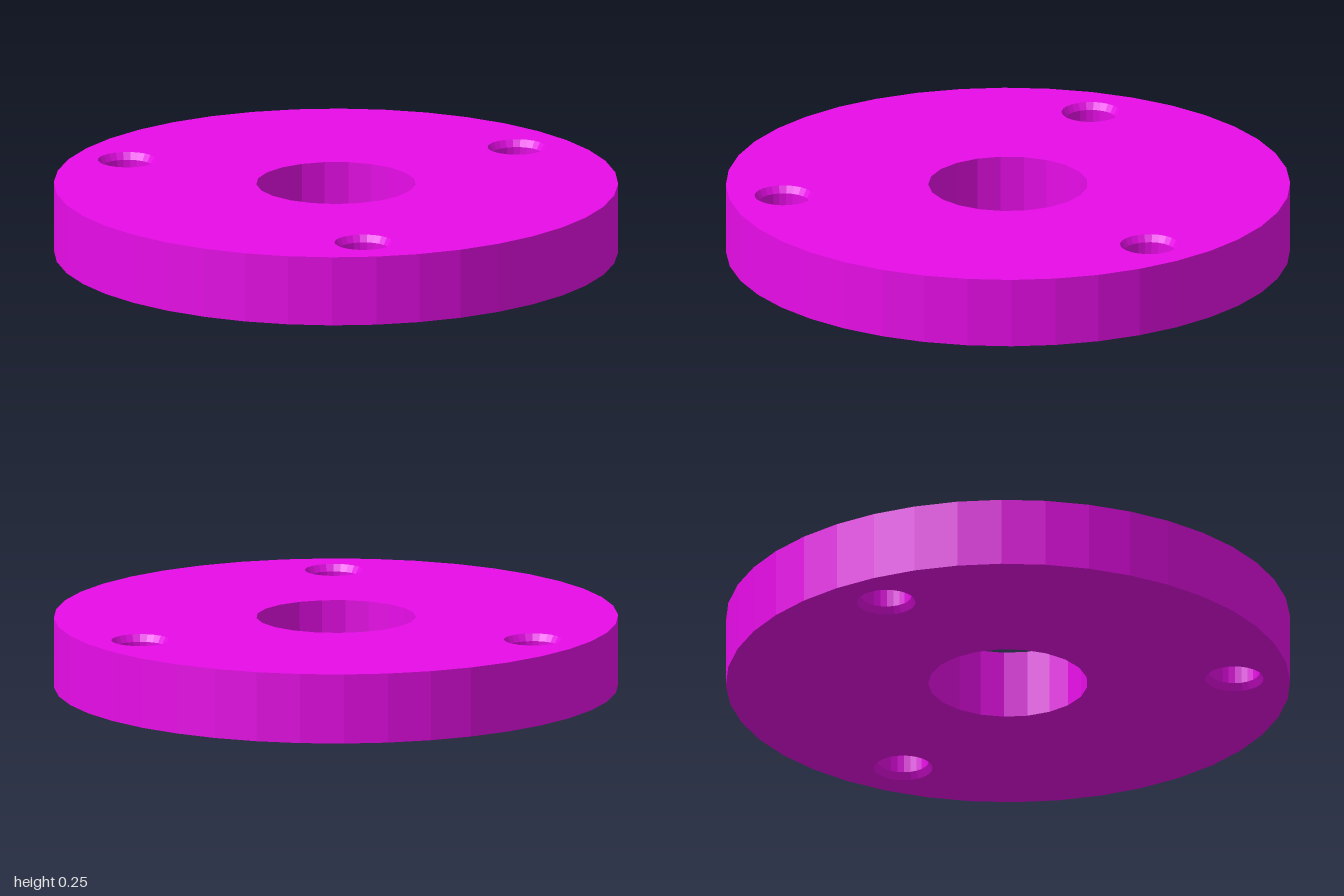
import * as THREE from 'three';

const HEIGHT = 0.25;
const CHAMFER = 0.025;
const TAU = Math.PI * 2;

export function createModel() {
  const group = new THREE.Group();
  const material = new THREE.MeshStandardMaterial({ color: 0xe80ce8, flatShading: true });

  const outer = { x: 0, z: 0, r: 1, sides: 40 };
  const centre = { x: 0, z: 0, r: 0.283, sides: 21 };
  const bolts = [0, 1, 2].map((i) => {
    const a = -0.02 + (i * TAU) / 3;
    return { x: 0.803 * Math.sin(a), z: 0.803 * Math.cos(a), r: 0.104, sides: 24 };
  });

  function add(name, geometry) {
    const mesh = new THREE.Mesh(geometry, material);
    mesh.name = name;
    group.add(mesh);
    return mesh;
  }

  // Polygon points matching the lathe corners; flip is -1 for the upper face
  const polygon = ({ x, z, r, sides }, flip) =>
    Array.from({ length: sides }, (_, i) => {
      const a = Math.PI + (i * TAU) / sides;
      return new THREE.Vector2(x + r * Math.sin(a), flip * (z + r * Math.cos(a)));
    });

  // Flat annular face with the centre and bolt holes cut out
  function face(name, y, flip) {
    const shape = new THREE.Shape(polygon(outer, flip));
    shape.holes = [centre, ...bolts].map((h) => new THREE.Path(polygon(h, flip)));
    const geometry = new THREE.ShapeGeometry(shape);
    geometry.rotateX((flip * Math.PI) / 2);
    add(name, geometry).position.y = y;
  }

  // Wall turned from [radius, y] pairs: rising faces outward, falling faces inward
  function wall(name, ring, profile) {
    const points = profile.map(([r, y]) => new THREE.Vector2(r, y));
    const mesh = add(name, new THREE.LatheGeometry(points, ring.sides, Math.PI, TAU));
    mesh.position.set(ring.x, 0, ring.z);
  }

  face('topFace', HEIGHT, -1);
  face('bottomFace', 0, 1);
  wall('outerRim', outer, [[outer.r, 0], [outer.r, HEIGHT]]);
  wall('centreBore', centre, [[centre.r, HEIGHT], [centre.r, 0]]);

  // Bolt holes, chamfered at both ends
  const bore = 0.09;
  bolts.forEach((b, i) =>
    wall(`boltHole${i + 1}`, b, [
      [b.r, HEIGHT], [bore, HEIGHT - CHAMFER], [bore, CHAMFER], [b.r, 0],
    ]));

  return group;
}
